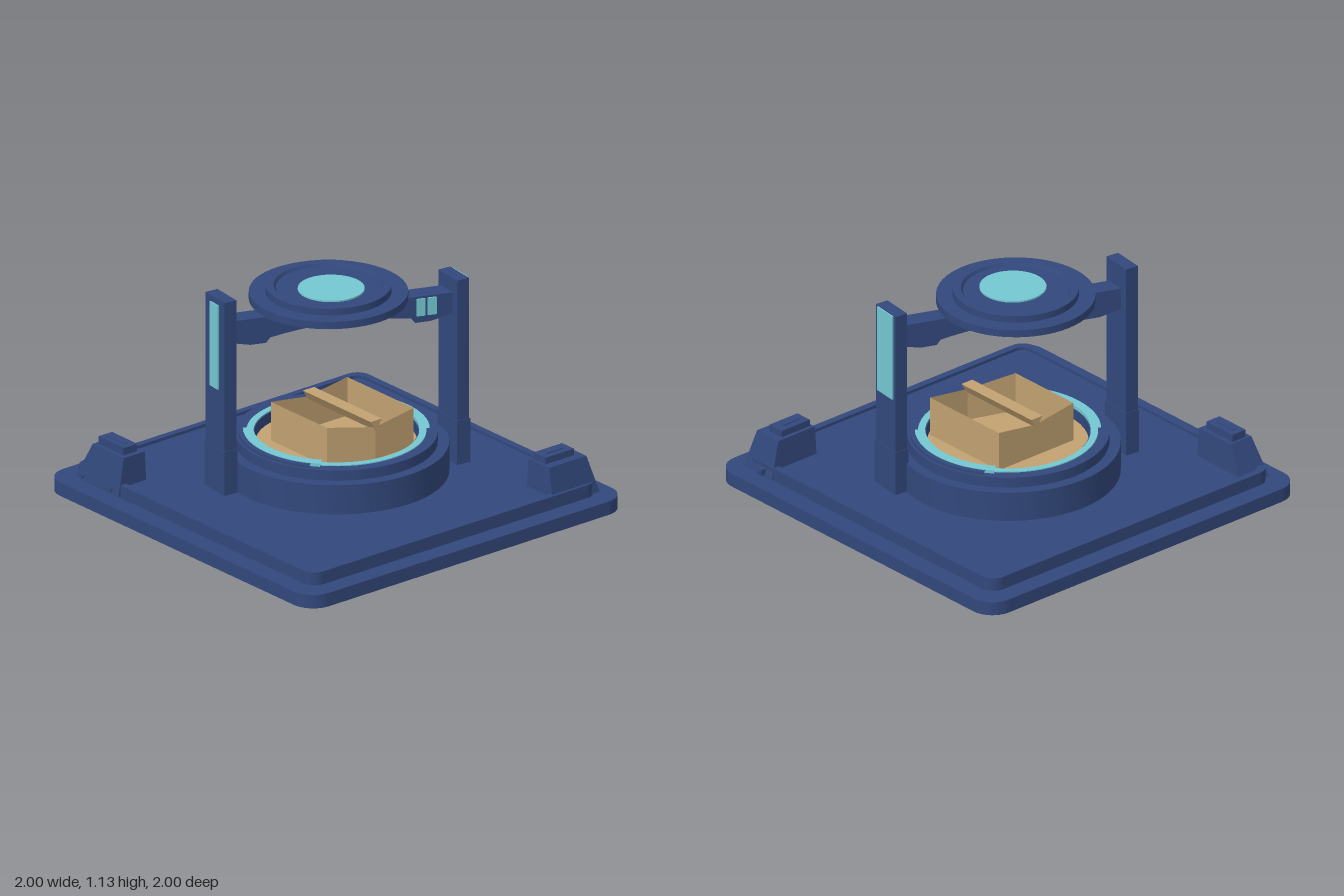
import * as THREE from 'three';
import { toCreasedNormals } from 'three/addons/utils/BufferGeometryUtils.js';

const mat = (name, color, side = THREE.FrontSide) => {
  const m = new THREE.MeshStandardMaterial({ color, side });
  m.name = name;
  return m;
};

export function createModel() {
  const blue = mat('navy metal', 0x32487c);
  const teal = mat('teal light', 0x74c8d2);
  const tan = mat('tan cardboard', 0xc2a272, THREE.DoubleSide);
  const model = new THREE.Group();

  const add = (name, geo, m, x = 0, y = 0, z = 0, parent = model) => {
    const mesh = new THREE.Mesh(geo, m);
    mesh.name = name;
    mesh.position.set(x, y, z);
    parent.add(mesh);
    return mesh;
  };
  const box = (name, m, w, h, d, x, y, z, parent) =>
    add(name, new THREE.BoxGeometry(w, h, d), m, x, y, z, parent);

  // Rounded square outline of half-size s and corner radius r
  const square = (s, r, Type = THREE.Shape) => {
    const p = new Type();
    [[1, 1], [-1, 1], [-1, -1], [1, -1]].forEach(([a, b], i) =>
      p.absarc(a * (s - r), b * (s - r), r, i * Math.PI / 2, (i + 1) * Math.PI / 2, false));
    p.closePath();
    return p;
  };
  const slab = (shape, y0, y1) => {
    const g = new THREE.ExtrudeGeometry(shape, { depth: y1 - y0, bevelEnabled: false, curveSegments: 5 });
    return g.rotateX(-Math.PI / 2).translate(0, y0, 0);
  };
  const lathe = (pts, seg = 56, start = 0, len = Math.PI * 2) =>
    toCreasedNormals(new THREE.LatheGeometry(pts.map(p => new THREE.Vector2(...p)), seg, start, len), 0.6);

  // Stepped base tray with raised lip
  add('base', slab(square(1, 0.12), 0, 0.07), blue);
  const lip = square(0.9, 0.07);
  lip.holes.push(square(0.865, 0.05, THREE.Path));
  add('trayLip', slab(lip, 0.07, 0.137), blue);
  add('trayFloor', slab(square(0.87, 0.05), 0.07, 0.122), blue);

  // Round platform with a shallow well
  const platform = new THREE.Group();
  platform.name = 'platform';
  platform.position.set(-0.045, 0, -0.04);
  model.add(platform);
  add('platformRing', lathe([[0.545, 0.12], [0.545, 0.275], [0.49, 0.275], [0.49, 0.328],
    [0.395, 0.328], [0.395, 0.27], [0, 0.27]]), blue, 0, 0, 0, platform);
  add('platformMat', new THREE.CircleGeometry(0.39, 48).rotateX(-Math.PI / 2), tan, 0, 0.278, 0, platform);
  add('lightRing', lathe([[0.435, 0.325], [0.435, 0.333], [0.4, 0.333], [0.4, 0.325]]), teal, 0, 0, 0, platform);
  for (const a of [0, Math.PI]) {
    add('raisedLight', lathe([[0.45, 0.328], [0.45, 0.345], [0.4, 0.345], [0.4, 0.328]], 16, a - 0.7, 1.4),
      teal, 0, 0, 0, platform);
    add('raisedTrim', lathe([[0.475, 0.325], [0.475, 0.342], [0.45, 0.342], [0.45, 0.325]], 16, a - 0.6, 1.2),
      blue, 0, 0, 0, platform);
  }

  // Open carton: wall loop of [x, z, top height]
  const loop = [[0.17, 0.2, 0.48], [0.25, -0.04, 0.445], [0.25, -0.28, 0.48],
    [-0.25, -0.28, 0.48], [-0.25, -0.04, 0.445], [-0.25, 0.2, 0.48]];
  const pos = [];
  loop.forEach(([x, z, t], i) => {
    const [u, w, s] = loop[(i + 1) % loop.length];
    pos.push(x, 0.278, z, u, 0.278, w, u, s, w, x, 0.278, z, u, s, w, x, t, z);
  });
  const walls = new THREE.BufferGeometry();
  walls.setAttribute('position', new THREE.Float32BufferAttribute(pos, 3));
  walls.computeVertexNormals();
  add('cartonWalls', walls, tan);
  const fold = new THREE.Shape([[0, -0.055], [0.035, 0], [-0.035, 0]].map(p => new THREE.Vector2(...p)));
  add('cartonFold', new THREE.ExtrudeGeometry(fold, { depth: 0.51, bevelEnabled: false })
    .rotateY(Math.PI / 2), tan, -0.255, 0.482, -0.04);

  // Two posts, each with a lit panel on its outer face
  const post = (name, x, z, top, dir, panelW, panelLow) => {
    const g = new THREE.Group();
    g.name = name;
    g.position.set(x, 0, z);
    g.rotation.y = -0.12;
    model.add(g);
    box('postColumn', blue, 0.168, top - 0.12, 0.068, 0, (top + 0.12) / 2, 0, g);
    box('postFoot', blue, 0.176, 0.23, 0.076, 0, 0.235, 0, g);
    box('postPanel', teal, panelW, 1.1 - panelLow - (1.13 - top) * 0.4, 0.009,
      0, (1.1 + panelLow - (1.13 - top) * 0.4) / 2, dir * 0.037, g);
  };
  post('frontPost', -0.232, 0.53, 1.13, 1, 0.07, 0.66);
  post('backPost', 0.195, -0.578, 1.085, -1, 0.13, 0.63);

  // Arched beam joining the posts
  const beam = new THREE.Group();
  beam.name = 'archBeam';
  beam.position.set(-0.02, 0, -0.025);
  beam.rotation.y = Math.atan2(-0.427, 1.108);
  model.add(beam);
  const arch = new THREE.Shape();
  arch.moveTo(-0.57, 0.9);
  arch.lineTo(-0.46, 0.875);
  arch.lineTo(-0.38, 0.875);
  arch.lineTo(-0.36, 0.9);
  arch.quadraticCurveTo(0, 0.965, 0.36, 0.9);
  arch.lineTo(0.38, 0.875);
  arch.lineTo(0.46, 0.875);
  arch.lineTo(0.57, 0.9);
  arch.lineTo(0.57, 1.01);
  arch.lineTo(-0.57, 1.01);
  arch.closePath();
  add('arch', new THREE.ExtrudeGeometry(arch, { depth: 0.1, bevelEnabled: false, curveSegments: 10 })
    .translate(0, 0, -0.05).rotateY(-Math.PI / 2), blue, 0, 0, 0, beam);
  for (const [w, z] of [[0.045, -0.408], [0.045, -0.465]])
    box('beamLight', teal, 0.009, 0.09, w, 0.053, 0.955, z, beam);

  // Overhead disc with raised rim and glowing centre
  const disc = new THREE.Group();
  disc.name = 'overheadDisc';
  disc.position.set(-0.06, 0, -0.003);
  model.add(disc);
  add('discBody', lathe([[0, 1.03], [0.385, 1.03], [0.385, 1.068], [0.305, 1.068], [0.305, 1.103],
    [0.265, 1.103], [0.255, 1.088], [0, 1.088]]), blue, 0, 0, 0, disc);
  add('discHub', new THREE.CylinderGeometry(0.1, 0.1, 0.05, 24), blue, 0.03, 1.015, 0, disc);
  add('discLight', new THREE.CylinderGeometry(0.162, 0.162, 0.008, 40), teal, 0.03, 1.093, 0.008, disc);

  // Corner blocks: bottom and top rectangles [x0, x1, z0, z1]
  const taper = (name, b, t, y0, y1) => {
    const g = new THREE.BoxGeometry(1, 1, 1);
    const p = g.attributes.position;
    for (let i = 0; i < p.count; i++) {
      const up = p.getY(i) > 0, r = up ? t : b;
      p.setXYZ(i, r[p.getX(i) > 0 ? 1 : 0], up ? y1 : y0, r[p.getZ(i) > 0 ? 3 : 2]);
    }
    g.computeVertexNormals();
    add(name, g, blue);
  };
  taper('frontBlock', [-0.87, -0.545, 0.737, 0.912], [-0.78, -0.547, 0.745, 0.878], 0.08, 0.272);
  box('frontBlockCap', blue, 0.19, 0.04, 0.085, -0.67, 0.29, 0.812);
  box('frontBlockSlot', blue, 0.12, 0.008, 0.02, -0.67, 0.31, 0.812);
  taper('backBlock', [0.69, 0.895, -0.91, -0.62], [0.7, 0.855, -0.86, -0.625], 0.08, 0.268);
  box('backBlockCap', blue, 0.09, 0.036, 0.18, 0.765, 0.284, -0.73);
  box('backBlockSlot', blue, 0.02, 0.008, 0.1, 0.765, 0.302, -0.73);
  for (const x of [-0.82, -0.605])
    add('blockBolt', new THREE.CylinderGeometry(0.011, 0.011, 0.02, 10).rotateX(Math.PI / 2), blue, x, 0.1, 0.908);
  box('backBlockPlug', blue, 0.03, 0.03, 0.03, 0.76, 0.1, -0.915);

  return model;
}
